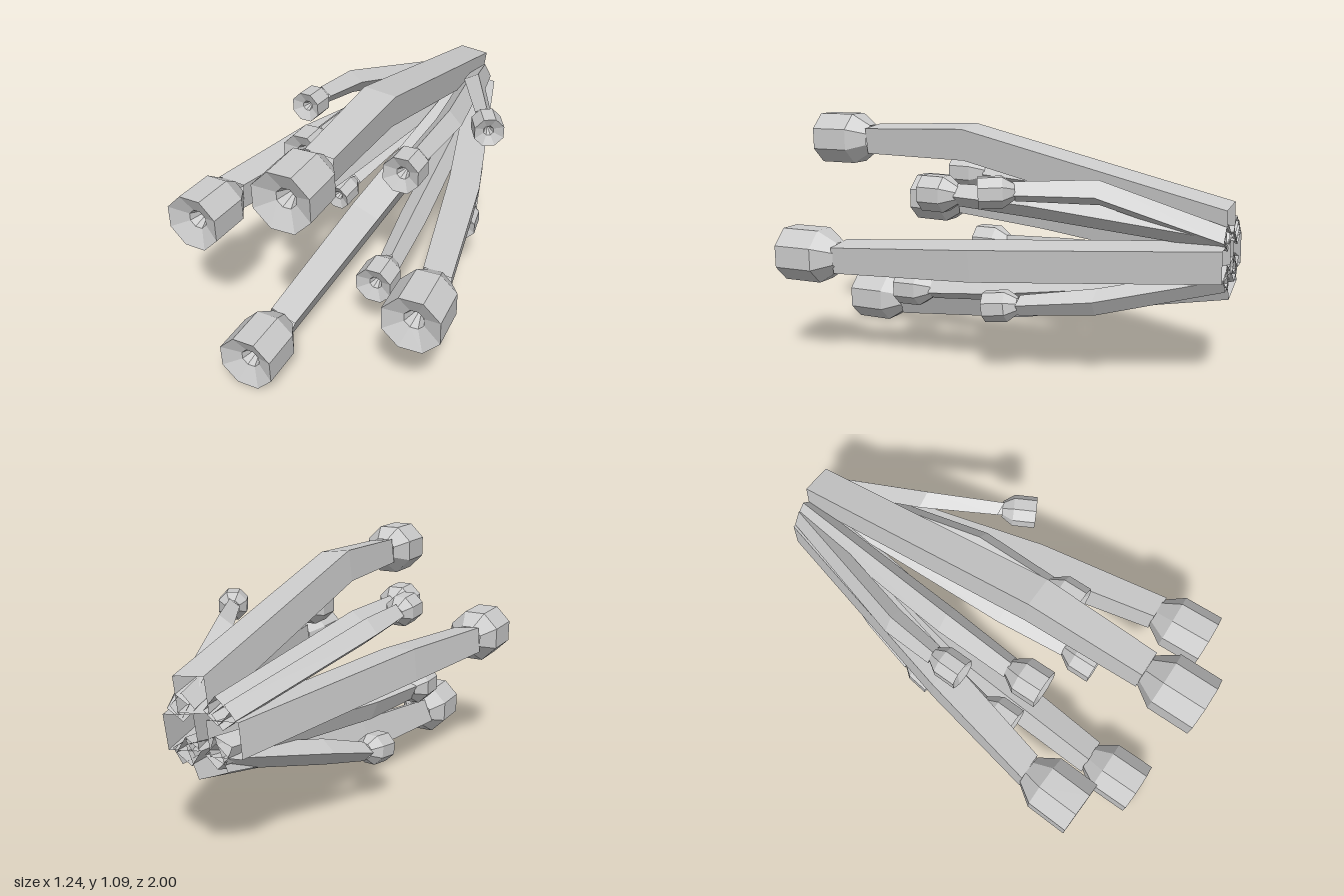
import * as THREE from 'three';

const material = new THREE.MeshStandardMaterial({ color: 0xcccccc, flatShading: true, side: THREE.DoubleSide });
const CENTRE = [0, 0.56];

// Head sizes: rim radius, full length, length of the straight part, half width of neck, bend and root
const SIZES = {
  large: { r: 0.127, len: 0.27, straight: 0.185, neck: 0.06, bend: 0.072, root: 0.07 },
  medium: { r: 0.086, len: 0.175, straight: 0.11, neck: 0.036, bend: 0.045, root: 0.04 },
  small: { r: 0.069, len: 0.15, straight: 0.1, neck: 0.031, bend: 0.04, root: 0.036 },
};

// Each arm: path from the root through its bends to the neck, then the tip of the head
const ARMS = [
  ['upperLargeArm', 'large', [[0.04, 0.705, -1], [0.05, 0.98, 0.2], [0.052, 0.972, 0.73]], [0.052, 0.97, 1]],
  ['leftLargeArm', 'large', [[0.092, 0.55, -1], [0.365, 0.51, 0], [0.49, 0.492, 0.62]], [0.5, 0.49, 0.885]],
  ['lowerLargeArm', 'large', [[-0.02, 0.468, -1], [-0.085, 0.335, -0.4], [-0.145, 0.225, 0], [-0.18, 0.125, 0.72]], [-0.183, 0.12, 0.985]],
  ['rightLargeArm', 'large', [[-0.1, 0.555, -1], [-0.365, 0.61, 0], [-0.49, 0.61, 0.54]], [-0.503, 0.61, 0.81]],
  ['upperRightInnerArm', 'medium', [[-0.07, 0.66, -1], [-0.18, 0.79, -0.1], [-0.206, 0.805, 0.25]], [-0.206, 0.807, 0.42]],
  ['upperLeftInnerArm', 'medium', [[0.08, 0.65, -1], [0.215, 0.75, -0.2], [0.214, 0.76, 0.17]], [0.214, 0.762, 0.34]],
  ['middleRightArm', 'medium', [[-0.08, 0.51, -1], [-0.27, 0.45, -0.15], [-0.325, 0.435, 0.19]], [-0.329, 0.433, 0.36]],
  ['lowerLeftInnerArm', 'medium', [[0.06, 0.48, -1], [0.135, 0.335, 0], [0.165, 0.3, 0.34]], [0.167, 0.296, 0.51]],
  ['upperRightOuterArm', 'small', [[-0.1, 0.64, -1], [-0.32, 0.82, -0.28], [-0.35, 0.845, -0.04]], [-0.355, 0.85, 0.11]],
  ['upperLeftOuterArm', 'small', [[0.1, 0.65, -1], [0.23, 0.82, -0.5], [0.385, 0.825, -0.19]], [0.456, 0.82, -0.06]],
  ['lowerRightOuterArm', 'small', [[-0.065, 0.485, -1], [-0.24, 0.355, -0.5], [-0.31, 0.278, -0.25]], [-0.328, 0.256, -0.1]],
  ['lowerLeftOuterArm', 'small', [[0.08, 0.475, -1], [0.24, 0.36, -0.5], [0.335, 0.33, -0.19]], [0.355, 0.313, -0.04]],
];

// Square tube through the path, turned so one side faces away from the middle, open at the root
function armGeometry(path, size, angle) {
  const pos = [], index = [];
  path.forEach(([x, y, z], i) => {
    const half = i === 0 ? size.root : i === path.length - 1 ? size.neck : size.bend;
    for (let k = 0; k < 4; k++) {
      const a = angle + Math.PI / 4 + k * Math.PI / 2;
      pos.push(x + Math.cos(a) * half * Math.SQRT2, y + Math.sin(a) * half * Math.SQRT2, z);
    }
  });
  for (let i = 0; i < path.length - 1; i++) {
    for (let k = 0; k < 4; k++) {
      const a = i * 4 + k, b = i * 4 + (k + 1) % 4;
      index.push(a, b, b + 4, a, b + 4, a + 4);
    }
  }
  const g = new THREE.BufferGeometry();
  g.setAttribute('position', new THREE.Float32BufferAttribute(pos, 3));
  g.setIndex(index);
  g.computeVertexNormals();
  return g;
}

// Eight-sided head with a sloped shoulder, a dished end and a conical hole; its tip is at the origin, facing +z
function headGeometry({ r, len, straight, neck }) {
  const profile = [
    [neck * 1.15, -len], [r, -straight], [r, 0], [r * 0.34, -r * 0.3], [0.001, -r * 1.0],
  ].map(([x, y]) => new THREE.Vector2(x, y));
  return new THREE.LatheGeometry(profile, 8).rotateY(Math.PI / 8).rotateX(Math.PI / 2);
}

export function createModel() {
  const model = new THREE.Group();
  model.name = 'armCluster';
  for (const [name, kind, path, tip] of ARMS) {
    const size = SIZES[kind];
    const group = new THREE.Group();
    group.name = name;
    const angle = Math.atan2(tip[1] - CENTRE[1], tip[0] - CENTRE[0]);
    const arm = new THREE.Mesh(armGeometry(path, size, angle), material);
    arm.name = 'arm';
    const head = new THREE.Mesh(headGeometry(size), material);
    head.name = 'head';
    head.position.set(...tip);
    // Point the head along the line from the neck to the tip
    const neck = new THREE.Vector3(...path[path.length - 1]);
    const direction = head.position.clone().sub(neck).normalize();
    head.quaternion.setFromUnitVectors(new THREE.Vector3(0, 0, 1), direction);
    group.add(arm, head);
    model.add(group);
  }
  return model;
}
